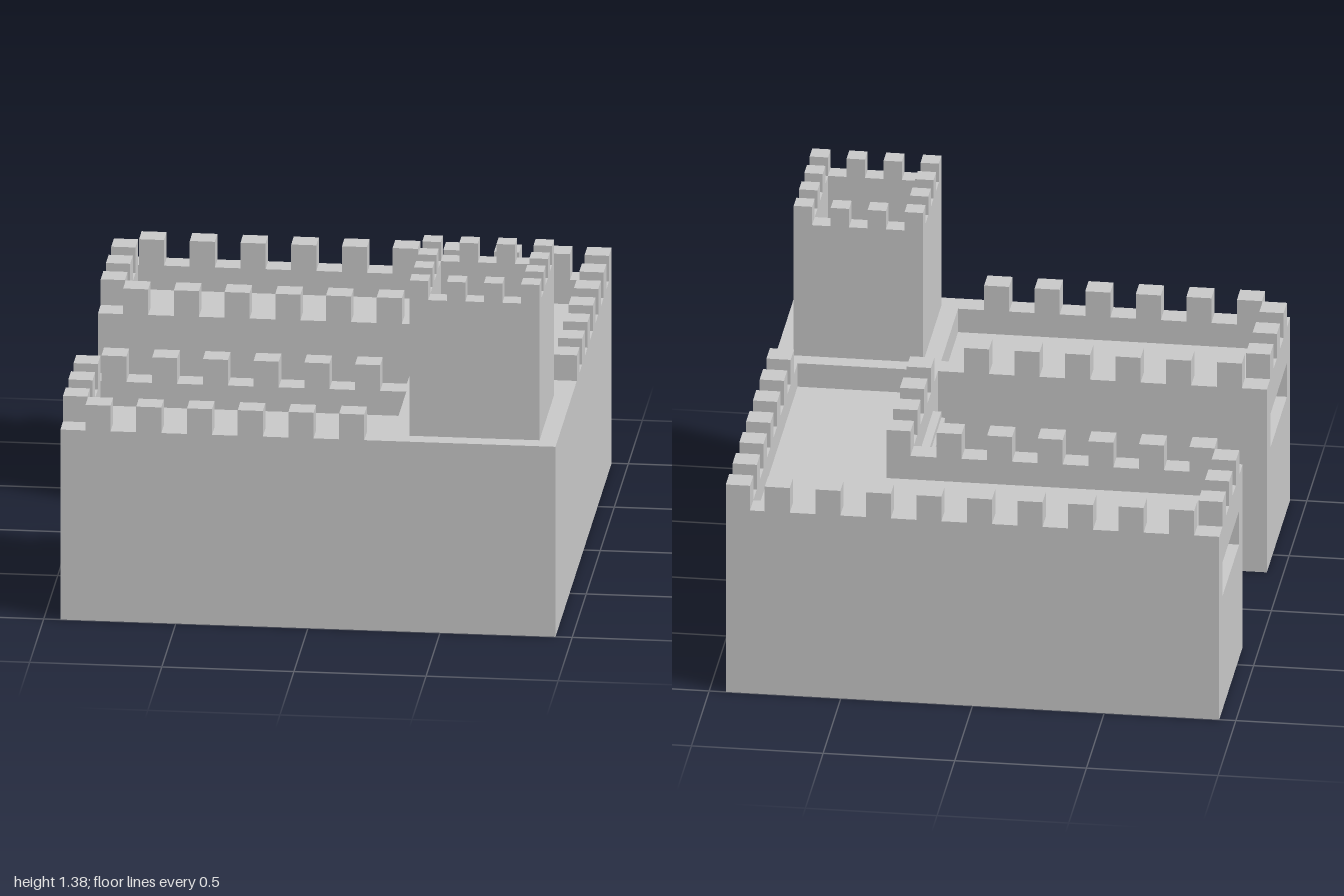
import * as THREE from 'three';

const stone = new THREE.MeshStandardMaterial({ color: 0xc9c9c9 });
stone.name = 'stone';
const dark = new THREE.MeshStandardMaterial({ color: 0x080808 });
dark.name = 'darkOpening';

// Plan outline [x, z] extruded upwards from y0 to y1
function slab(name, outline, y0, y1, holes = []) {
  // reversed so the outline runs counter-clockwise after z is flipped
  const toPoints = (list) => list.map(([x, z]) => new THREE.Vector2(x, -z)).reverse();
  const shape = new THREE.Shape(toPoints(outline));
  holes.forEach((h) => shape.holes.push(new THREE.Path(toPoints(h))));
  const geo = new THREE.ExtrudeGeometry(shape, { depth: y1 - y0, bevelEnabled: false });
  geo.rotateX(-Math.PI / 2);
  const mesh = new THREE.Mesh(geo, stone);
  mesh.position.y = y0;
  mesh.name = name;
  return mesh;
}

function block(name, x0, x1, y0, y1, z0, z1, material = stone) {
  const mesh = new THREE.Mesh(new THREE.BoxGeometry(x1 - x0, y1 - y0, z1 - z0), material);
  mesh.position.set((x0 + x1) / 2, (y0 + y1) / 2, (z0 + z1) / 2);
  mesh.name = name;
  return mesh;
}

const rect = (x0, x1, z0, z1) => [[x0, z0], [x1, z0], [x1, z1], [x0, z1]];

export function createModel() {
  const model = new THREE.Group();
  model.name = 'castle';

  const X = 0.937, Z = 1, yardX = 0.312, yardZ = 0.34, t = 0.092;
  const floorY = 0.66, wallY = 0.757, merlonY = 0.859;
  const winLow = 0.47, winHigh = 0.61, winDepth = 0.047;
  const win0 = 0.44, win1 = 0.905;

  // U-shaped body, open towards -x
  const footprint = [
    [-X, -Z], [X, -Z], [X, Z], [-X, Z],
    [-X, yardZ], [yardX, yardZ], [yardX, -yardZ], [-X, -yardZ],
  ];
  // Same plan with a shallow recess in each wing end
  const r = -X + winDepth;
  const recessed = [
    [-X, -Z], [X, -Z], [X, Z], [-X, Z],
    [-X, win1], [r, win1], [r, win0], [-X, win0],
    [-X, yardZ], [yardX, yardZ], [yardX, -yardZ], [-X, -yardZ],
    [-X, -win0], [r, -win0], [r, -win1], [-X, -win1],
  ];
  model.add(slab('lowerBody', footprint, 0, winLow));
  model.add(slab('windowBody', recessed, winLow, winHigh));
  model.add(slab('upperBody', footprint, winHigh, floorY));

  // Parapet around two sunken roof walks
  const mainRoof = [
    [-X + t, -Z + t], [X - t, -Z + t], [X - t, yardZ], [yardX + t, yardZ],
    [yardX + t, -yardZ - t], [-X + t, -yardZ - t],
  ];
  const frontRoof = rect(-X + t, yardX, yardZ + t, Z - t);
  model.add(slab('parapet', footprint, floorY, wallY, [mainRoof, frontRoof]));

  // Dark window panels
  for (const s of [-1, 1]) {
    const c = s * (win0 + win1) / 2, h = (win1 - win0) / 2;
    model.add(block('windowPanel', r - 0.002, r + 0.003, winLow, winHigh, c - h, c + h, dark));
  }

  // Merlons
  const merlons = new THREE.Group();
  merlons.name = 'merlons';
  const w = 0.095, stepX = 0.192, firstX = -X + t + 0.003;
  const rowX = (count, z) => {
    for (let i = 0; i < count; i++) {
      const x = firstX + i * stepX;
      merlons.add(block('merlon', x, x + w, wallY, merlonY, z, z + t));
    }
  };
  const rowZ = (start, count, x, pitch) => {
    for (let i = 0; i < count; i++) {
      const z = start + i * pitch;
      merlons.add(block('merlon', x, x + t, wallY, merlonY, z, z + w));
    }
  };
  rowX(9, -Z);                          // back wall
  rowX(6, Z - t);                       // front wall
  rowX(6, yardZ);                       // courtyard, front wing
  rowX(6, -yardZ - t);                  // courtyard, back wing
  rowZ(-1, 7, X - t, 0.191);            // long outer wall
  rowZ(-yardZ - t, 4, yardX, 0.192);    // courtyard end wall
  rowZ(-0.907, 3, -X, 0.188);           // back wing end
  rowZ(0.435, 3, -X, 0.188);            // front wing end
  model.add(merlons);

  // Gate in the courtyard, two stepped layers
  model.add(block('gateFrame', 0.28, yardX + 0.01, 0, 0.655, -0.2, 0.2));
  model.add(block('gateDoor', 0.266, 0.28, 0, 0.63, -0.2, 0.2));

  // Hollow corner tower
  const tower = new THREE.Group();
  tower.name = 'tower';
  const x0 = 0.378, x1 = 0.869, z0 = 0.409, z1 = 0.932, mx = 0.07, mz = 0.074;
  const rim = 1.3, top = 1.376, n = 4;
  tower.add(slab('towerWalls', rect(x0, x1, z0, z1), wallY, rim,
    [rect(x0 + mx, x1 - mx, z0 + mz, z1 - mz)]));
  for (let i = 0; i < n; i++) {
    for (let j = 0; j < n; j++) {
      if (i > 0 && i < n - 1 && j > 0 && j < n - 1) continue;
      const x = x0 + i * (x1 - x0 - mx) / (n - 1);
      const z = z0 + j * (z1 - z0 - mz) / (n - 1);
      tower.add(block('towerMerlon', x, x + mx, rim, top, z, z + mz));
    }
  }
  model.add(tower);

  return model;
}
